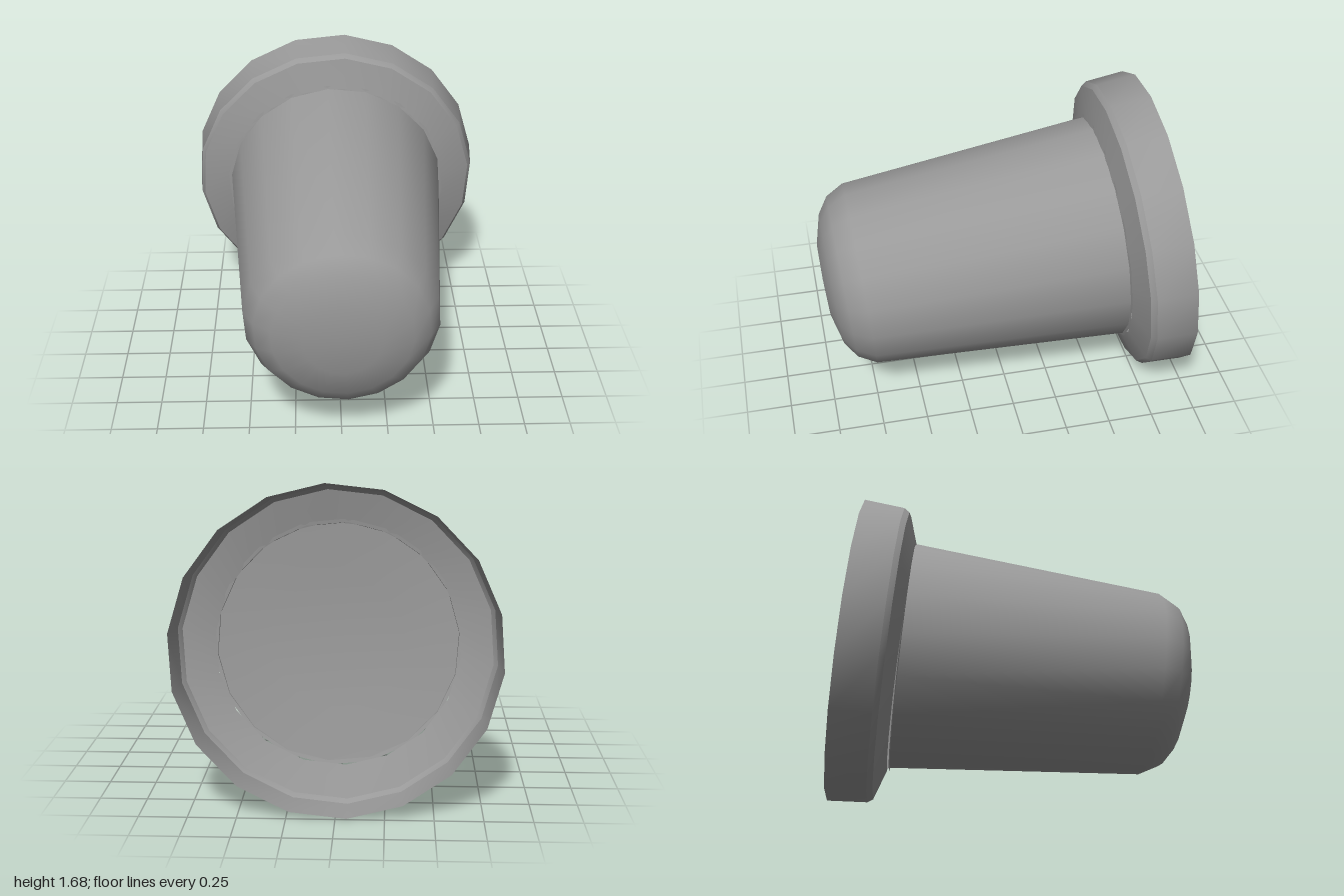
import * as THREE from 'three';
import { toCreasedNormals } from 'three/addons/utils/BufferGeometryUtils.js';

const SIDES = 18;
const deg = THREE.MathUtils.degToRad;

// Revolved part from [radius, distance along axis] pairs, with a starting angle
function turned(name, profile, startDeg, creaseDeg, material) {
  const points = profile.map(([r, t]) => new THREE.Vector2(r, t));
  const lathe = new THREE.LatheGeometry(points, SIDES, deg(startDeg));
  const mesh = new THREE.Mesh(toCreasedNormals(lathe, deg(creaseDeg)), material);
  mesh.name = name;
  return mesh;
}

// Group whose axis points forward and tilts down by the given angle
function tilted(name, tiltDeg, y, z, ...parts) {
  const group = new THREE.Group();
  group.name = name;
  group.add(...parts);
  group.rotation.x = deg(90 + tiltDeg);
  group.position.set(0, y, z);
  return group;
}

export function createModel() {
  const material = new THREE.MeshStandardMaterial({ color: 0x999999, side: THREE.DoubleSide });

  // Thin flared collar, open at the back, with a bevel and sloping shoulder
  const collar = turned('collar', [[0.845, 0], [0.828, 0.22], [0.808, 0.25], [0.64, 0.305]], 16.2, 25, material);

  // Tapered body with a narrow seating lip and a rounded nose
  const body = turned('body', [
    [0.65, -0.004], [0.632, 0], [0.515, 1.395], [0.46, 1.495], [0.37, 1.555], [0.205, 1.598], [0, 1.604],
  ], 4.4, 35, material);

  // Shallow dished panel closing the back of the body
  const backPanel = turned('backPanel', [[0, 0.05], [0.35, 0.035], [0.63, 0.006]], 4.4, 35, material);

  const model = new THREE.Group();
  model.name = 'model';
  model.add(
    tilted('collarGroup', 5.44, 0.842, -0.92, collar),
    tilted('bodyGroup', 4.7, 0.82, -0.611, body, backPanel),
  );
  return model;
}
